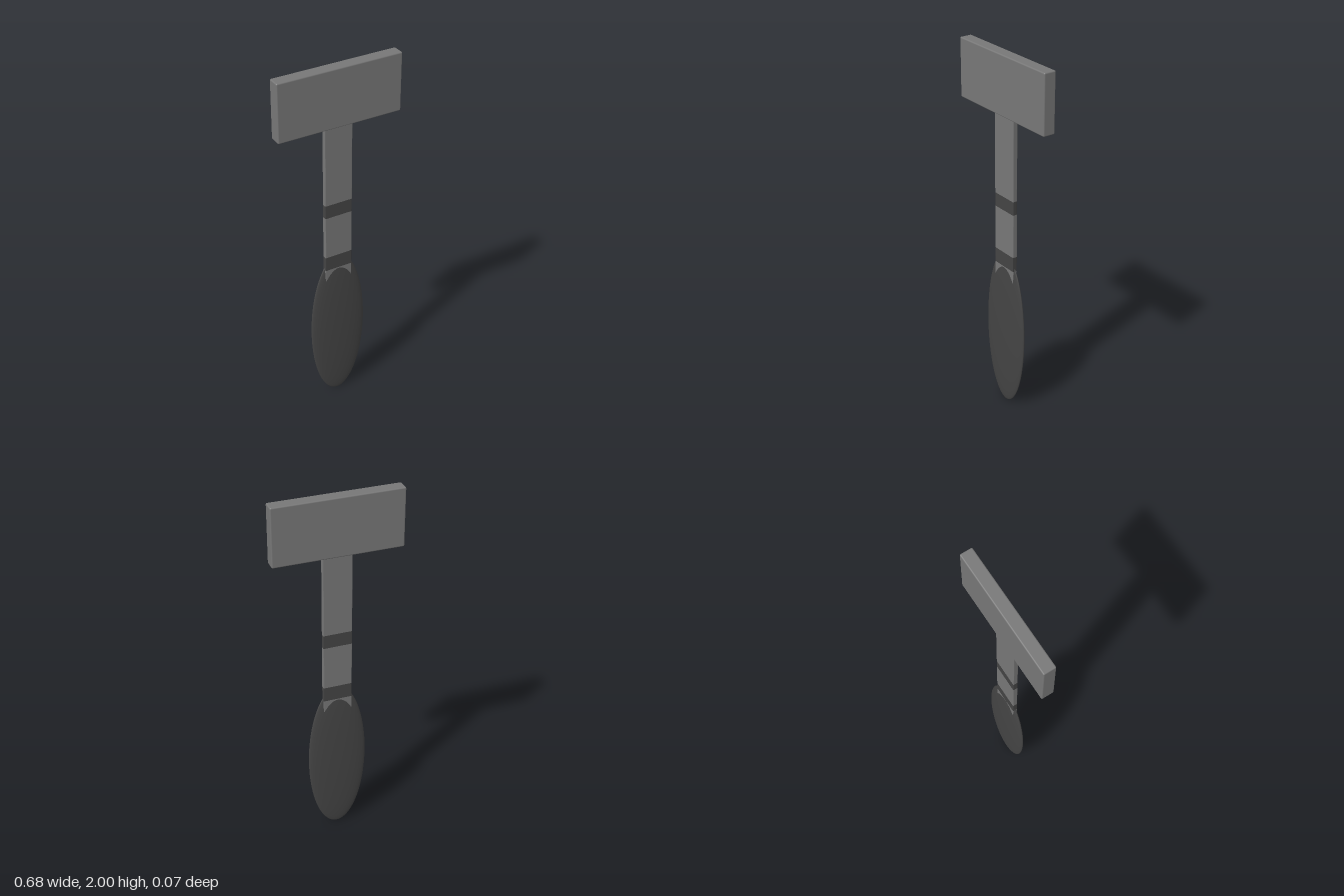
import * as THREE from 'three';
import { RoundedBoxGeometry } from 'three/addons/geometries/RoundedBoxGeometry.js';

export function createModel() {
  const group = new THREE.Group();
  const steel = new THREE.MeshStandardMaterial({ name: 'grey steel', color: 0x777777 });
  const rubber = new THREE.MeshStandardMaterial({ name: 'dark rubber', color: 0x444444 });

  const add = (name, geometry, material, y) => {
    const mesh = new THREE.Mesh(geometry, material);
    mesh.name = name;
    mesh.position.y = y;
    group.add(mesh);
  };

  // Flat bar outline with slightly softened corners, seen from above
  const w = 0.078, d = 0.013, r = 0.004;
  const outline = new THREE.Shape();
  outline.moveTo(-w + r, -d);
  outline.lineTo(w - r, -d);
  outline.quadraticCurveTo(w, -d, w, -d + r);
  outline.lineTo(w, d - r);
  outline.quadraticCurveTo(w, d, w - r, d);
  outline.lineTo(-w + r, d);
  outline.quadraticCurveTo(-w, d, -w, d - r);
  outline.lineTo(-w, -d + r);
  outline.quadraticCurveTo(-w, -d, -w + r, -d);

  // Shaft sections stacked end to end, alternating plain bar and dark bands
  const sections = [
    ['shaftBase', 0.5, 0.84, steel],
    ['lowerBand', 0.84, 0.922, rubber],
    ['shaftMiddle', 0.922, 1.165, steel],
    ['upperBand', 1.165, 1.24, rubber],
    ['shaftTop', 1.24, 1.69, steel],
  ];
  for (const [name, bottom, top, material] of sections) {
    const bar = new THREE.ExtrudeGeometry(outline, {
      depth: top - bottom, bevelEnabled: false, curveSegments: 3,
    });
    bar.rotateX(-Math.PI / 2);
    add(name, bar, material, bottom);
  }

  // Broad block head with softened edges
  add('head', new RoundedBoxGeometry(0.684, 0.316, 0.068, 2, 0.007), steel, 1.842);

  // Flattened oval grip
  const grip = new THREE.SphereGeometry(1, 48, 32);
  grip.scale(0.161, 0.455, 0.0235);
  add('grip', grip, rubber, 0.455);

  return group;
}
